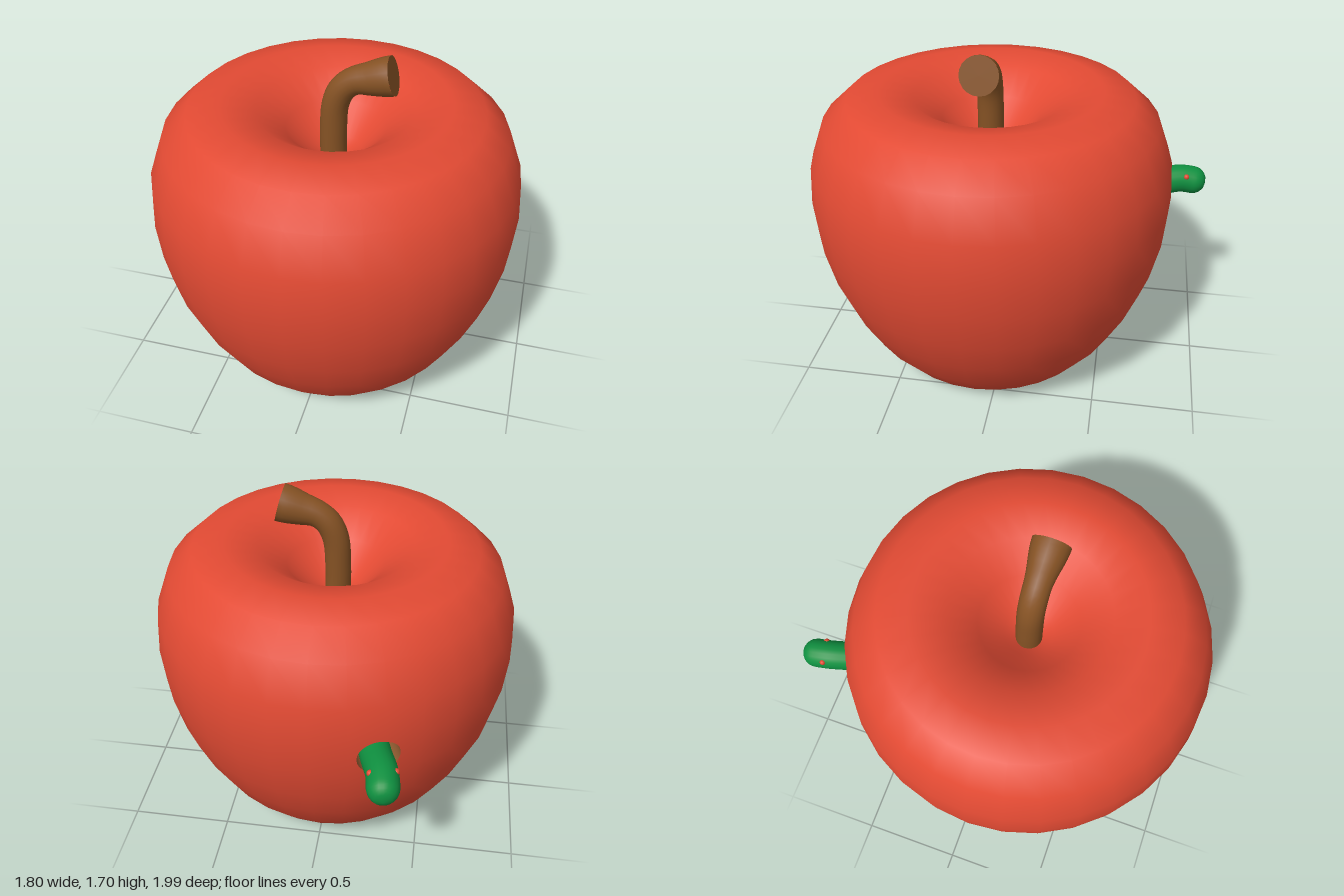
import * as THREE from 'three';
import { mergeVertices } from 'three/addons/utils/BufferGeometryUtils.js';

const paint = (name, color) => {
  const m = new THREE.MeshStandardMaterial({ color });
  m.name = name;
  return m;
};

function addMesh(parent, name, geometry, material) {
  const mesh = new THREE.Mesh(geometry, material);
  mesh.name = name;
  parent.add(mesh);
  return mesh;
}

// Skin over a list of closed loops, each one counter-clockwise and inside the one before
function loft(rings, normalRings) {
  const n = rings[0].length, index = [];
  for (let r = 0; r < rings.length - 1; r++) {
    for (let k = 0; k < n; k++) {
      const a = r * n + k, b = r * n + (k + 1) % n;
      index.push(a, b, a + n, b, b + n, a + n);
    }
  }
  const g = new THREE.BufferGeometry().setFromPoints(rings.flat());
  g.setIndex(index);
  if (normalRings) {
    g.setAttribute('normal', new THREE.Float32BufferAttribute(normalRings.flat().flatMap(v => v.toArray()), 3));
  } else g.computeVertexNormals();
  return g;
}

// Tube whose radius follows a rule along its length
function taperedTube(curve, radiusAt, steps, sides) {
  const g = new THREE.TubeGeometry(curve, steps, 1, sides);
  const p = g.attributes.position, v = new THREE.Vector3();
  for (let i = 0; i < p.count; i++) {
    const t = Math.floor(i / (sides + 1)) / steps;
    const c = curve.getPointAt(t);
    v.fromBufferAttribute(p, i).sub(c).multiplyScalar(radiusAt(t)).add(c);
    p.setXYZ(i, v.x, v.y, v.z);
  }
  g.deleteAttribute('uv');
  g.deleteAttribute('normal');
  const merged = mergeVertices(g, 1e-5);
  merged.computeVertexNormals();
  return merged;
}

const path = pts => new THREE.CatmullRomCurve3(pts.map(p => new THREE.Vector3(...p)));

export function createModel() {
  const model = new THREE.Group();
  model.name = 'apple';
  const red = paint('apple red', 0xe24a33);
  const brown = paint('stem brown', 0x855224);
  const flesh = paint('tunnel brown', 0x8f5a30);
  const green = paint('worm green', 0x0f9040);

  // Apple skin, dimpled below and above
  const fruit = new THREE.Group();
  fruit.name = 'fruit';
  fruit.position.z = 0.09;
  model.add(fruit);
  const profile = [
    [0, 0.17], [0.1, 0.15], [0.2, 0.09], [0.32, 0.025], [0.44, 0], [0.57, 0.05], [0.68, 0.19],
    [0.77, 0.36], [0.84, 0.54], [0.885, 0.74], [0.9, 0.93], [0.885, 1.12], [0.815, 1.31],
    [0.695, 1.42], [0.54, 1.455], [0.38, 1.415], [0.24, 1.31], [0.12, 1.18], [0, 1.12],
  ].map(p => new THREE.Vector2(...p));
  const rows = profile.length;
  const skin = new THREE.LatheGeometry(profile, 32);

  // Leave a window of quads open around the worm hole
  const u0 = 17, u1 = 19, v0 = 8, v1 = 11;
  const all = Array.from(skin.index.array), kept = [];
  for (let k = 0; k < all.length; k += 3) {
    const tri = all.slice(k, k + 3);
    const u = tri.map(a => Math.floor(a / rows)), v = tri.map(a => a % rows);
    const inside = Math.min(...u) >= u0 && Math.max(...u) <= u1 && Math.min(...v) >= v0 && Math.max(...v) <= v1;
    if (!inside) kept.push(...tri);
  }
  skin.setIndex(kept);
  addMesh(fruit, 'skin', skin, red);

  // Point or normal anywhere on the skin grid
  const sample = (attr, u, v) => {
    const i = Math.min(Math.floor(u), u1 - 1), j = Math.min(Math.floor(v), v1 - 1);
    const at = (a, b) => new THREE.Vector3().fromBufferAttribute(attr, a * rows + b);
    const low = at(i, j).lerp(at(i + 1, j), u - i);
    return low.lerp(at(i, j + 1).lerp(at(i + 1, j + 1), u - i), v - j);
  };

  // Fill the window up to a round opening
  const hole = { u: 17.82, v: 9.53, ru: 0.58, rv: 0.52 };
  const border = [], n = 12;
  const corners = [[u0, v0], [u1, v0], [u1, v1], [u0, v1]];
  corners.forEach((a, c) => {
    const b = corners[(c + 1) % 4];
    for (let k = 0; k < n; k++) border.push([a[0] + (b[0] - a[0]) * k / n, a[1] + (b[1] - a[1]) * k / n]);
  });
  const opening = border.map(([u, v]) => {
    const t = Math.atan2((v - hole.v) / hole.rv, (u - hole.u) / hole.ru);
    return [hole.u + hole.ru * Math.cos(t), hole.v + hole.rv * Math.sin(t)];
  });
  const ringAt = (attr, s) => border.map(([u, v], k) =>
    sample(attr, u + (opening[k][0] - u) * s, v + (opening[k][1] - v) * s));
  const steps = [0, 0.25, 0.5, 0.75, 1];
  addMesh(fruit, 'holeSurround', loft(
    steps.map(s => ringAt(skin.attributes.position, s)),
    steps.map(s => ringAt(skin.attributes.normal, s).map(v => v.normalize()))), red);

  // Tunnel behind the opening, closed at its far end
  const rim = ringAt(skin.attributes.position, 1);
  const inward = sample(skin.attributes.normal, hole.u, hole.v).normalize().multiplyScalar(-0.25);
  const deep = rim.map(p => p.clone().add(inward));
  const end = sample(skin.attributes.position, hole.u, hole.v).add(inward);
  addMesh(fruit, 'tunnelWall', loft([rim, deep]), flesh);
  addMesh(fruit, 'tunnelEnd', loft([deep, deep.map(() => end.clone())]), flesh);

  // Bent stem, wider at its cut end
  const stem = new THREE.Group();
  stem.name = 'stem';
  model.add(stem);
  const z = 0.095;
  const stemPath = path([[-0.01, 1.08, z], [-0.012, 1.28, z], [0, 1.44, z], [0.035, 1.52, z],
    [0.09, 1.565, z], [0.17, 1.587, z], [0.265, 1.612, z]]);
  addMesh(stem, 'stemShaft', taperedTube(stemPath,
    t => 0.064 + 0.028 * THREE.MathUtils.smoothstep(t, 0.7, 1), 28, 20), brown);
  const cut = addMesh(stem, 'stemCut', new THREE.CircleGeometry(0.092, 20), brown);
  cut.position.copy(stemPath.getPointAt(1));
  cut.quaternion.setFromUnitVectors(new THREE.Vector3(0, 0, 1), stemPath.getTangentAt(1));

  // Worm leaning out of the hole, with a rounded head
  const worm = new THREE.Group();
  worm.name = 'worm';
  model.add(worm);
  const wormPath = path([[-0.24, 0.835, -0.54], [-0.295, 0.843, -0.73], [-0.338, 0.857, -0.87], [-0.353, 0.833, -1]]);
  const headStart = 0.85;
  addMesh(worm, 'wormBody', taperedTube(wormPath, t => {
    const s = Math.max(0, (t - headStart) / (1 - headStart));
    return 0.073 * Math.sqrt(Math.max(0, 1 - s * s));
  }, 40, 20), green);

  // Small eyes set into the head
  for (const [side, x, ez] of [['right', -0.396, -0.87], ['left', -0.286, -0.895]]) {
    const eye = addMesh(worm, side + 'Eye', new THREE.SphereGeometry(0.015, 12, 8), red);
    eye.position.set(x, 0.893, ez);
  }
  return model;
}
